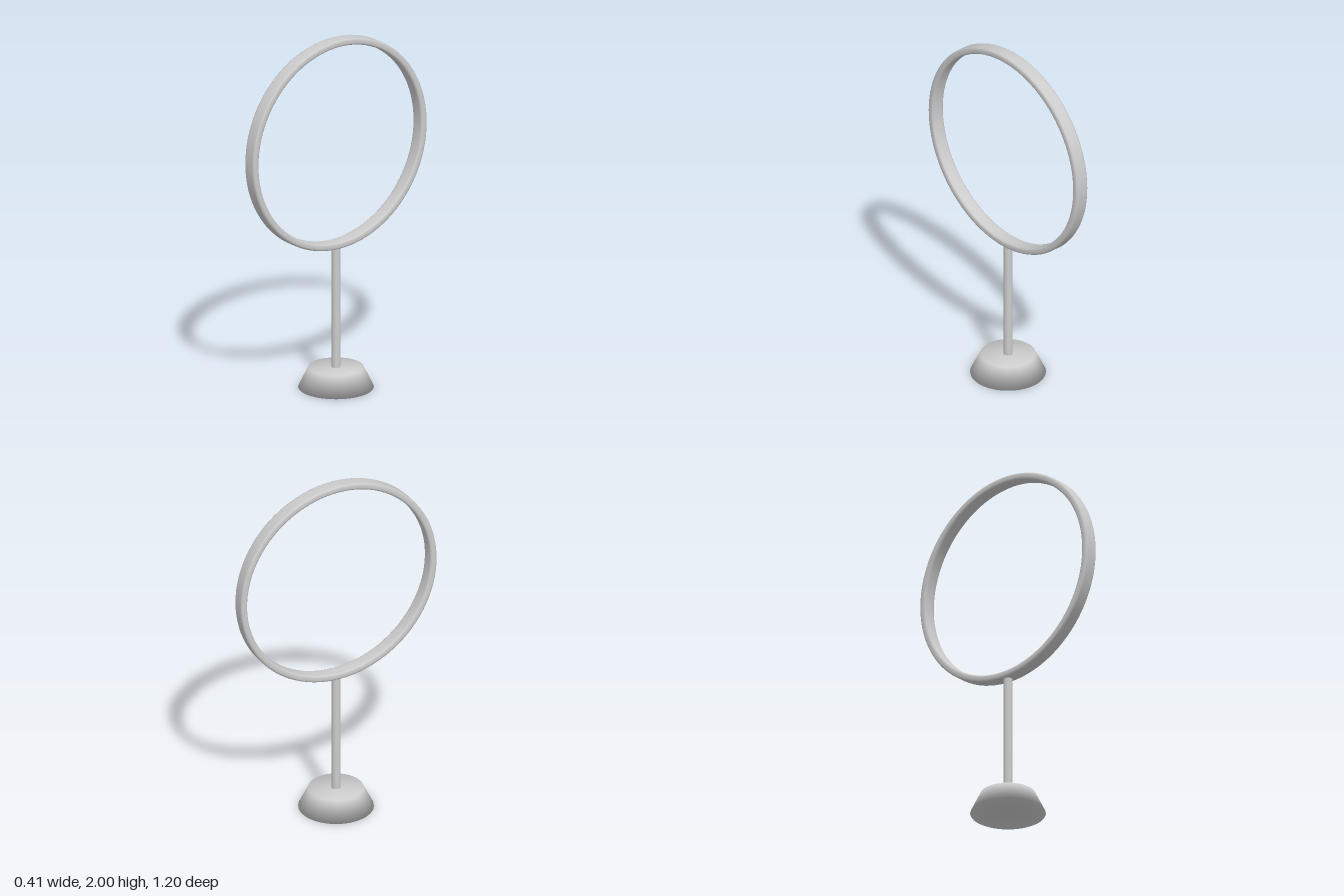
import * as THREE from 'three';

const material = new THREE.MeshStandardMaterial({ color: 0xcccccc });

// Smooth solid of revolution from [radius, height] pairs, listed bottom to top on the outside
function turned(name, profile, segments) {
  const points = profile.map(([r, y]) => new THREE.Vector2(r, y));
  const mesh = new THREE.Mesh(new THREE.LatheGeometry(points, segments), material);
  mesh.name = name;
  return mesh;
}

// Closed band section with rounded corners, starting in the middle of the inner face
function bandProfile(inner, outer, halfWidth, corner) {
  const points = [[inner, 0]];
  const corners = [
    [inner + corner, -halfWidth + corner, Math.PI],
    [outer - corner, -halfWidth + corner, 1.5 * Math.PI],
    [outer - corner, halfWidth - corner, 0],
    [inner + corner, halfWidth - corner, 0.5 * Math.PI],
  ];
  for (const [r, y, start] of corners) {
    for (let i = 0; i <= 2; i++) {
      const a = start + (i * Math.PI) / 4;
      points.push([r + corner * Math.cos(a), y + corner * Math.sin(a)]);
    }
  }
  points.push([inner, 0]);
  return points;
}

export function createModel() {
  const model = new THREE.Group();
  model.name = 'hoopOnStand';

  // Tapered foot, softly shaded over its edges
  model.add(turned('base', [[0, 0], [0.205, 0], [0.15, 0.115], [0, 0.115]], 48));

  // Upright rod from the foot into the bottom of the hoop
  const post = new THREE.Mesh(new THREE.CylinderGeometry(0.025, 0.025, 0.71, 32), material);
  post.name = 'post';
  post.position.y = 0.455;
  model.add(post);

  // Upright hoop with its axis along x
  const hoop = turned('hoop', bandProfile(0.56, 0.6, 0.04, 0.012), 96);
  hoop.rotation.z = Math.PI / 2;
  hoop.position.y = 1.4;
  model.add(hoop);

  return model;
}
